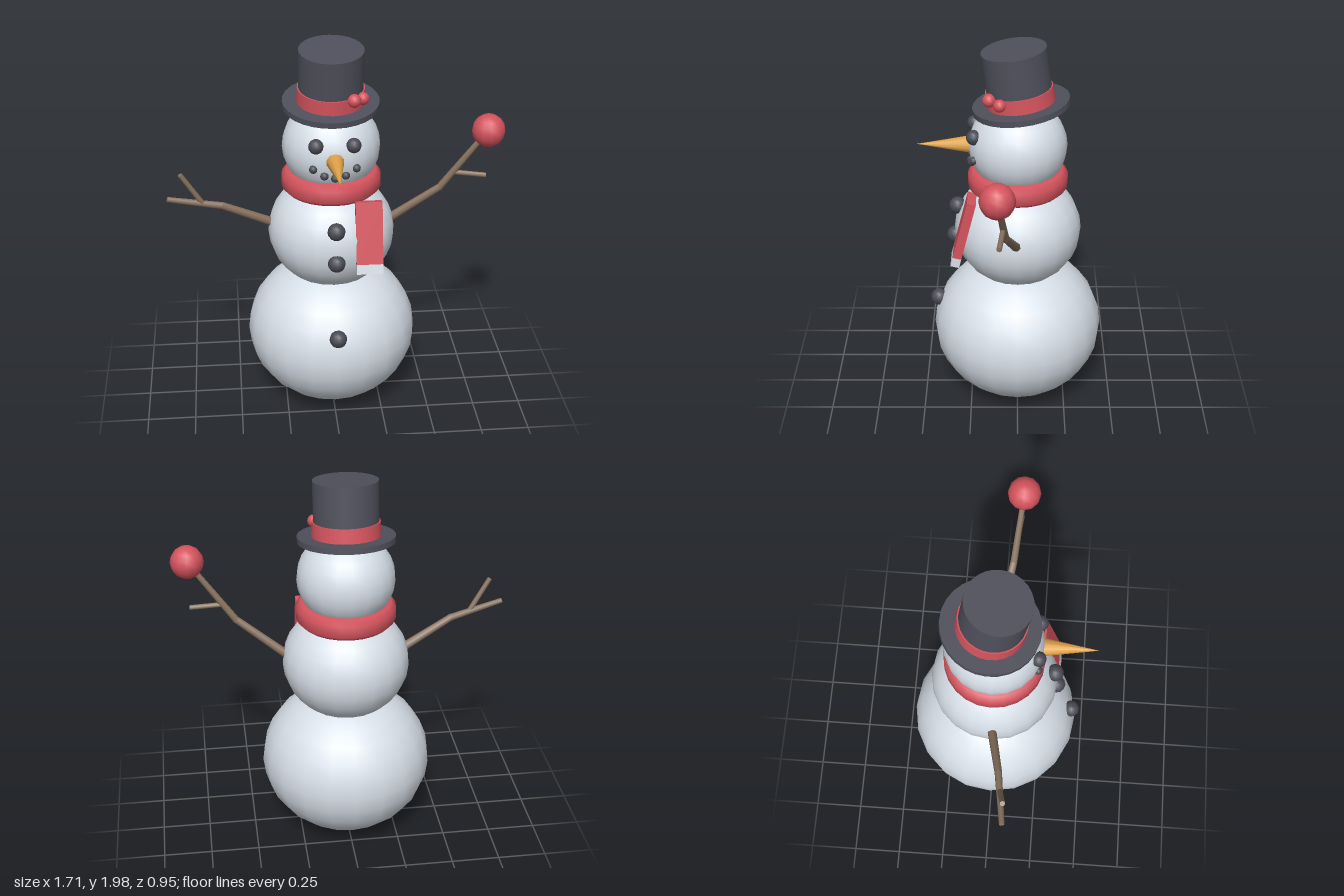
import * as THREE from 'three';

const material = (name, color) => {
  const m = new THREE.MeshStandardMaterial({ color });
  m.name = name;
  return m;
};

export function createModel() {
  const model = new THREE.Group();
  model.name = 'snowman';

  const snow = material('snow', 0xdbe3ec);
  const red = material('red', 0xd4535d);
  const felt = material('dark felt', 0x50505c);
  const coal = material('coal', 0x4a4b54);
  const carrot = material('carrot', 0xe0a248);
  const wood = material('wood', 0x88725f);

  const add = (name, geometry, mat, x = 0, y = 0, z = 0, parent = model) => {
    const mesh = new THREE.Mesh(geometry, mat);
    mesh.name = name;
    mesh.position.set(x, y, z);
    parent.add(mesh);
    return mesh;
  };
  const ball = (name, r, mat, x, y, z, parent = model, seg = 12) =>
    add(name, new THREE.SphereGeometry(r, seg, Math.round(seg * 0.7)), mat, x, y, z, parent);

  // Tapered stick between two points
  const stick = (name, a, b, r0, r1, parent) => {
    const from = new THREE.Vector3(...a);
    const to = new THREE.Vector3(...b);
    const dir = to.clone().sub(from);
    const mesh = add(name, new THREE.CylinderGeometry(r1, r0, dir.length(), 7), wood, 0, 0, 0, parent);
    mesh.position.copy(from).add(to).multiplyScalar(0.5);
    mesh.quaternion.setFromUnitVectors(new THREE.Vector3(0, 1, 0), dir.normalize());
  };

  // Three slightly squashed snowballs
  for (const [name, y, r, ry] of [
    ['lowerBody', 0.42, 0.445, 0.4],
    ['middleBody', 1.0, 0.328, 0.3],
    ['head', 1.47, 0.25, 0.24],
  ]) {
    const mesh = ball(name, r, snow, 0, y, 0, model, 20);
    mesh.scale.y = ry / r;
  }

  // Buttons
  for (const [y, z] of [[1.125, 0.31], [0.955, 0.325], [0.57, 0.42]]) {
    ball('button', 0.045, coal, 0, y, z);
  }

  // Eyes and mouth
  for (const s of [-1, 1]) {
    ball('eye', 0.038, coal, s * 0.093, 1.55, 0.22);
    ball('mouthStone', 0.021, coal, s * 0.107, 1.43, 0.222);
    ball('mouthStone', 0.021, coal, s * 0.053, 1.397, 0.233);
  }
  ball('mouthStone', 0.021, coal, 0, 1.385, 0.238);

  // Carrot nose
  const nose = add('nose', new THREE.ConeGeometry(0.05, 0.3, 10), carrot, 0, 1.473, 0.36);
  nose.rotation.x = Math.PI / 2;

  // Scarf ring with a bevelled outer edge
  const ring = [[0.17, 1.23], [0.23, 1.23], [0.255, 1.255], [0.255, 1.315], [0.23, 1.343], [0.17, 1.343]];
  add('scarfRing', new THREE.LatheGeometry(ring.map(([r, y]) => new THREE.Vector2(r, y)), 24), red);

  // Hanging scarf end with a pale tip
  const tail = new THREE.Group();
  tail.name = 'scarfTail';
  tail.position.set(0.168, 1.25, 0.231);
  tail.rotation.x = -0.247;
  model.add(tail);
  add('scarfTailCloth', new THREE.BoxGeometry(0.135, 0.32, 0.045), red, 0, -0.16, 0, tail);
  add('scarfTailTip', new THREE.BoxGeometry(0.135, 0.05, 0.045), snow, 0, -0.345, 0, tail);

  // Tilted top hat
  const hat = new THREE.Group();
  hat.name = 'hat';
  hat.position.set(0, 1.69, -0.016);
  hat.rotation.x = 0.133;
  model.add(hat);
  add('hatBrim', new THREE.CylinderGeometry(0.245, 0.245, 0.03, 28), felt, 0, 0, 0, hat);
  add('hatCrown', new THREE.CylinderGeometry(0.163, 0.163, 0.29, 28), felt, 0, 0.145, 0, hat);
  add('hatBand', new THREE.CylinderGeometry(0.17, 0.174, 0.075, 28), red, 0, 0.05, 0, hat);

  // Berries on the hat band
  ball('berry', 0.034, red, 0.102, 1.752, 0.142);
  ball('berry', 0.032, red, 0.15, 1.744, 0.09);

  // Raised left arm with a ball at its end
  const leftArm = new THREE.Group();
  leftArm.name = 'leftArm';
  model.add(leftArm);
  stick('armLower', [0.27, 1.02, 0], [0.555, 1.237, 0.06], 0.024, 0.019, leftArm);
  stick('armUpper', [0.55, 1.23, 0.059], [0.785, 1.555, 0.095], 0.019, 0.014, leftArm);
  stick('twig', [0.615, 1.322, 0.07], [0.785, 1.306, 0.088], 0.013, 0.013, leftArm);
  ball('handBall', 0.085, red, 0.785, 1.555, 0.095, leftArm, 12);

  // Lower right arm with a forked end
  const rightArm = new THREE.Group();
  rightArm.name = 'rightArm';
  model.add(rightArm);
  stick('armLower', [-0.27, 1.03, 0], [-0.565, 1.178, 0.06], 0.024, 0.019, rightArm);
  stick('armUpper', [-0.555, 1.174, 0.058], [-0.835, 1.238, 0.095], 0.019, 0.014, rightArm);
  stick('twig', [-0.66, 1.2, 0.074], [-0.765, 1.37, 0.094], 0.014, 0.013, rightArm);

  return model;
}
